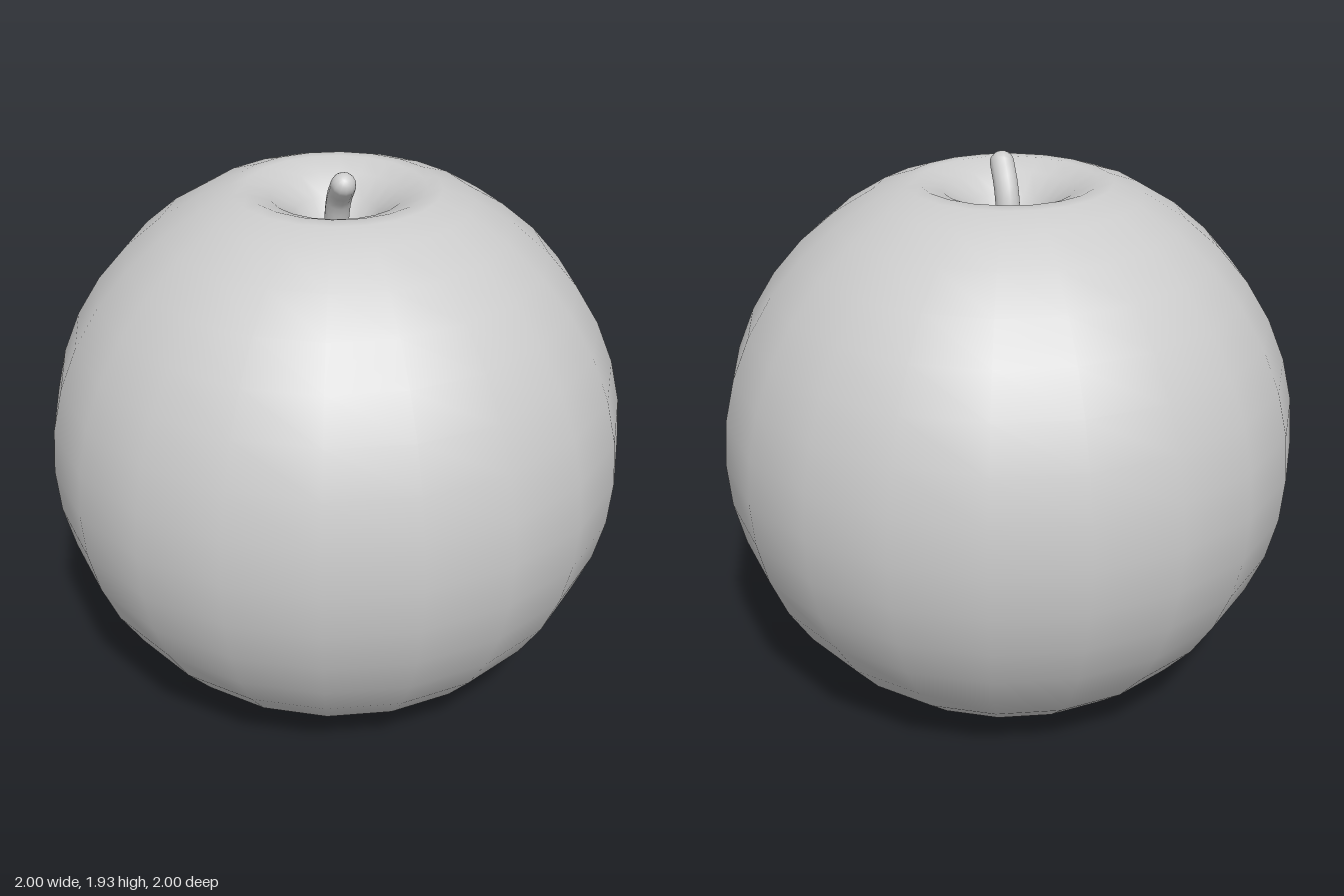
import * as THREE from 'three';

const material = new THREE.MeshStandardMaterial({ color: 0xcccccc });

function addPart(group, name, geometry) {
  const mesh = new THREE.Mesh(geometry, material);
  mesh.name = name;
  group.add(mesh);
  return mesh;
}

export function createModel() {
  const model = new THREE.Group();
  model.name = 'apple';

  // Fruit: a 20-sided sphere profile with a dimple pushed in at both ends
  const centerY = 0.925;
  const profile = [[0, 0.17], [0.07, 0.15], [0.15, 0.07], [0.24, 0.02], [0.33, 0.002], [0.38, 0.006]];
  for (let i = 3; i <= 17; i++) {
    const a = (i * Math.PI) / 20;
    profile.push([Math.sin(a), centerY - Math.cos(a)]);
  }
  profile.push([0.35, 1.852], [0.3, 1.855], [0.22, 1.825], [0.14, 1.765], [0.07, 1.67], [0, 1.63]);
  addPart(model, 'fruit', new THREE.LatheGeometry(profile.map(([r, y]) => new THREE.Vector2(r, y)), 20));

  // Stem: a bent tube rising from the upper dimple and leaning forward
  const radius = 0.042;
  const curve = new THREE.CatmullRomCurve3([
    new THREE.Vector3(0, 1.6, -0.005),
    new THREE.Vector3(0, 1.72, 0),
    new THREE.Vector3(0, 1.82, 0.03),
    new THREE.Vector3(0, 1.888, 0.085),
  ]);
  addPart(model, 'stem', new THREE.TubeGeometry(curve, 10, radius, 12));

  // Rounded stem end
  const tip = addPart(model, 'stemTip', new THREE.SphereGeometry(radius, 12, 6, 0, Math.PI * 2, 0, Math.PI / 2));
  tip.position.copy(curve.getPoint(1));
  tip.quaternion.setFromUnitVectors(new THREE.Vector3(0, 1, 0), curve.getTangent(1));

  return model;
}
